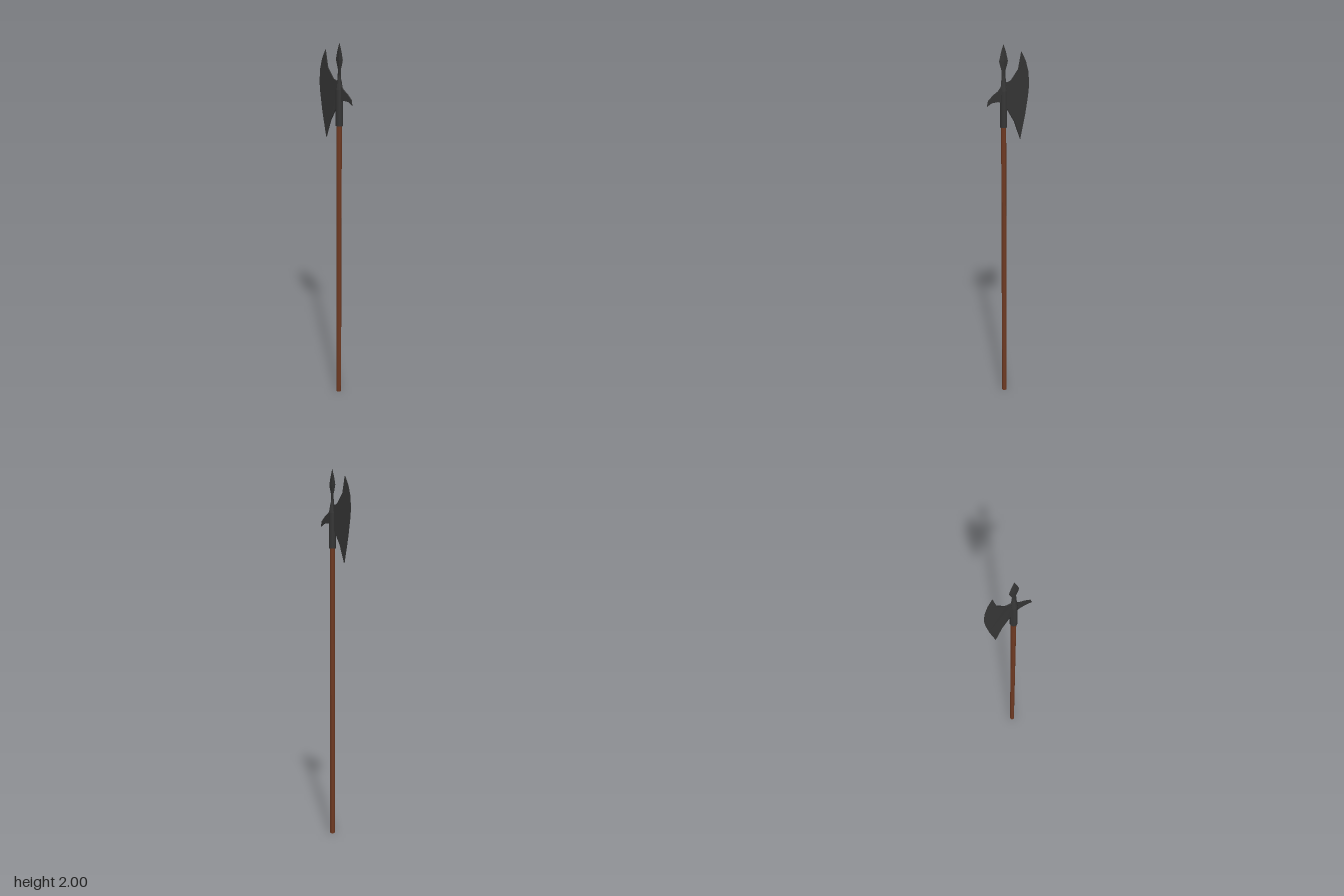
import * as THREE from 'three';

const AXIS = 0.028; // x of the pole

export function createModel() {
  const metal = new THREE.MeshStandardMaterial({ color: 0x363636 });
  metal.name = 'dark iron';
  const wood = new THREE.MeshStandardMaterial({ color: 0x6f3a22 });
  wood.name = 'brown wood';
  const group = new THREE.Group();
  group.name = 'halberd';

  const add = (name, geometry, material, x = 0) => {
    const mesh = new THREE.Mesh(geometry, material);
    mesh.name = name;
    mesh.position.x = x;
    group.add(mesh);
  };

  // Faceted turned part from [radius, y] pairs, bottom to top
  const turned = (profile, sides, depth = 1) => {
    const points = profile.map(([r, y]) => new THREE.Vector2(r, y));
    const g = new THREE.LatheGeometry(points, sides).scale(1, 1, depth).toNonIndexed();
    g.computeVertexNormals();
    return g;
  };

  // Flat plate whose half thickness follows a rule of x
  const plate = (outline, halfThickness) => {
    const shape = new THREE.Shape(outline.map(([x, y]) => new THREE.Vector2(x, y)));
    const g = new THREE.ExtrudeGeometry(shape, { depth: 1, bevelEnabled: false });
    const p = g.attributes.position;
    for (let i = 0; i < p.count; i++) {
      p.setZ(i, (p.getZ(i) > 0.5 ? 1 : -1) * halfThickness(p.getX(i)));
    }
    g.computeVertexNormals();
    return g;
  };

  // Pole and the socket that caps it
  add('shaft', turned([[0, 0], [0.0135, 0], [0.0135, 1.6], [0, 1.6]], 10), wood, AXIS);
  add('socket', turned([[0, 1.585], [0.0185, 1.585], [0.0185, 1.77], [0.011, 1.815], [0.003, 1.845], [0, 1.845]], 10), metal, AXIS);

  // Thin leaf-shaped top spike with a diamond section
  add('topSpike', turned([[0, 1.76], [0.018, 1.78], [0.013, 1.83], [0.011, 1.87], [0.019, 1.892],
    [0.026, 1.917], [0.015, 1.96], [0, 2]], 4, 0.16), metal, AXIS);

  // Axe blade, thinning towards the curved cutting edge
  add('axeBlade', plate([
    [-0.078, 1.955], [-0.105, 1.907], [-0.121, 1.855], [-0.127, 1.79], [-0.121, 1.733],
    [-0.105, 1.643], [-0.089, 1.575], [-0.073, 1.51], [-0.037, 1.605], [0.012, 1.683],
    [0.02, 1.69], [0.02, 1.812], [0.004, 1.812], [-0.016, 1.818], [-0.06, 1.87],
  ], x => THREE.MathUtils.mapLinear(THREE.MathUtils.clamp(x, -0.12, -0.06), -0.12, -0.06, 0.0006, 0.003)), metal);

  // Hooked rear beak
  add('rearBeak', plate([
    [0.036, 1.705], [0.045, 1.713], [0.062, 1.719], [0.1, 1.717], [0.127, 1.702],
    [0.118, 1.731], [0.088, 1.756], [0.06, 1.772], [0.045, 1.79], [0.036, 1.8],
  ], x => (x > 0.12 ? 0.0006 : 0.003)), metal);

  return group;
}
